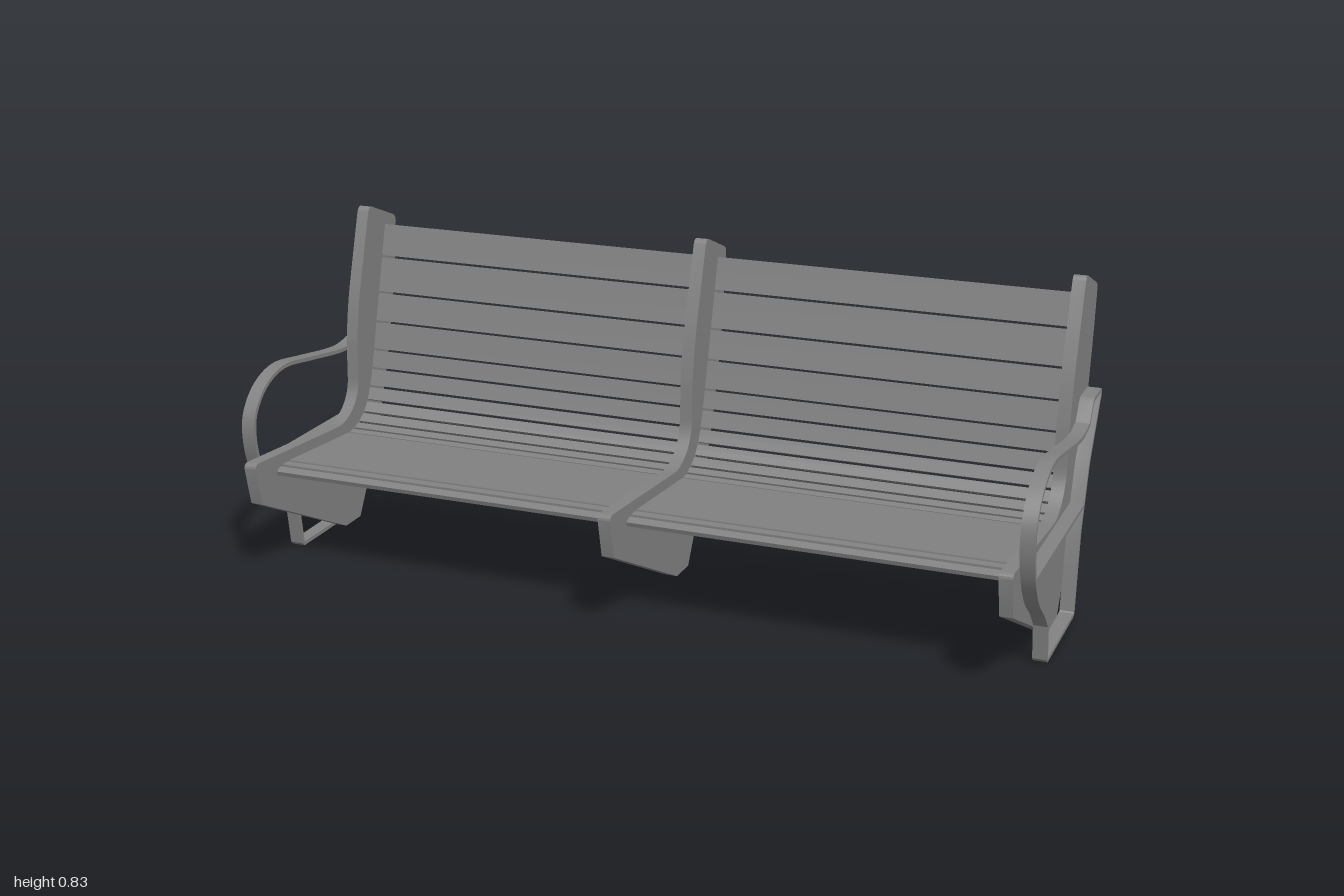
import * as THREE from 'three';
import { toCreasedNormals } from 'three/addons/utils/BufferGeometryUtils.js';

const material = new THREE.MeshStandardMaterial({ color: 0x828282 });
const PANEL_X = 0.95, PANEL_W = 0.032;
const ARM_W = 0.035, ARM_T = 0.01;

function addMesh(parent, geometry, name) {
  const mesh = new THREE.Mesh(geometry, material);
  mesh.name = name;
  parent.add(mesh);
  return mesh;
}

// Extrude a (z, y) side profile along x, centred on x = 0
function extrudeSide(shape, width) {
  const g = new THREE.ExtrudeGeometry(shape, { depth: width, bevelEnabled: false, curveSegments: 12 });
  g.translate(0, 0, -width / 2);
  g.rotateY(-Math.PI / 2);
  return toCreasedNormals(g, 0.5);
}

// Side profile of the supporting panels
function panelShape() {
  const s = new THREE.Shape();
  s.moveTo(-0.043, 0.001);
  s.lineTo(0.36, 0.202);
  s.lineTo(0.381, 0.297);
  s.quadraticCurveTo(0.383, 0.313, 0.366, 0.313);
  s.lineTo(-0.02, 0.285);
  s.bezierCurveTo(-0.085, 0.28, -0.142, 0.325, -0.142, 0.385);
  s.lineTo(-0.145, 0.48);
  s.quadraticCurveTo(-0.157, 0.57, -0.175, 0.63);
  s.lineTo(-0.232, 0.812);
  s.quadraticCurveTo(-0.239, 0.832, -0.256, 0.826);
  s.lineTo(-0.367, 0.782);
  s.quadraticCurveTo(-0.381, 0.776, -0.381, 0.76);
  s.bezierCurveTo(-0.347, 0.46, -0.277, 0.26, -0.12, 0.001);
  s.closePath();
  return s;
}

// Closed strip of constant thickness around a clockwise loop of points
function stripShape(points, thickness) {
  const n = points.length;
  const offset = (d) => points.map((p, i) => {
    const a = p.clone().sub(points[(i + n - 1) % n]).normalize();
    const b = points[(i + 1) % n].clone().sub(p).normalize();
    const normal = new THREE.Vector2(-a.y - b.y, a.x + b.x).normalize();
    const miter = Math.max(0.5, normal.dot(new THREE.Vector2(-a.y, a.x)));
    return p.clone().addScaledVector(normal, d / miter);
  });
  const shape = new THREE.Shape(offset(thickness / 2));
  shape.holes.push(new THREE.Path(offset(-thickness / 2).reverse()));
  return shape;
}

// Loop of the foot, rear stay and curved armrest
function armLoop() {
  const straight = [
    [0.126, 0.012], [0.12, 0.006], [-0.158, 0.006], [-0.164, 0.012],
    [-0.174, 0.11], [-0.186, 0.21], [-0.242, 0.37], [-0.335, 0.512], [-0.337, 0.519],
    [-0.332, 0.525], [-0.254, 0.525], [-0.245, 0.52],
  ].map(([z, y]) => new THREE.Vector2(z, y));
  const curved = new THREE.SplineCurve([
    [-0.213, 0.474], [-0.15, 0.465], [-0.08, 0.47], [0.04, 0.488], [0.17, 0.504],
    [0.26, 0.478], [0.315, 0.42], [0.323, 0.35], [0.3, 0.27], [0.25, 0.2], [0.185, 0.147], [0.138, 0.1],
  ].map(([z, y]) => new THREE.Vector2(z, y)));
  return [...straight, ...curved.getPoints(60)];
}

// Slat joints from the seat nose round to the top of the back, as [z, y]
const JOINTS = [
  [0.288, 0.258], [0.26, 0.268], [0.227, 0.268], [-0.08, 0.246], [-0.109, 0.25],
  [-0.137, 0.26], [-0.167, 0.279], [-0.191, 0.307], [-0.21, 0.343], [-0.226, 0.389],
  [-0.24, 0.438], [-0.259, 0.511], [-0.28, 0.587], [-0.305, 0.68], [-0.328, 0.766],
];

function addSlats(parent) {
  const slats = new THREE.Group();
  slats.name = 'slats';
  parent.add(slats);
  for (let i = 0; i < JOINTS.length - 1; i++) {
    const [z0, y0] = JOINTS[i], [z1, y1] = JOINTS[i + 1];
    const length = Math.hypot(z1 - z0, y1 - y0);
    const name = i === 2 ? 'seatBoard' : i < 2 ? 'frontSlat' : i < 8 ? 'curveSlat' : 'backSlat';
    const narrow = name === 'curveSlat' || name === 'frontSlat';
    const thickness = narrow ? 0.012 : 0.014, gap = narrow ? 0.008 : 0.006;
    const slat = addMesh(slats, new THREE.BoxGeometry(2 * PANEL_X - PANEL_W, thickness, length - gap), name);
    slat.position.set(0, (y0 + y1) / 2, (z0 + z1) / 2);
    slat.rotation.x = Math.atan2(y1 - y0, z0 - z1);
  }
}

export function createModel() {
  const bench = new THREE.Group();
  bench.name = 'bench';

  // Three upright side panels
  const panel = extrudeSide(panelShape(), PANEL_W);
  for (const x of [-PANEL_X, 0, PANEL_X]) {
    addMesh(bench, panel, x === 0 ? 'middlePanel' : x < 0 ? 'rightPanel' : 'leftPanel').position.x = x;
  }

  addSlats(bench);

  // Armrest frames with their cross bars, outside the end panels
  const frame = extrudeSide(stripShape(armLoop(), ARM_T), ARM_W);
  const bar = new THREE.BoxGeometry(ARM_W, ARM_T, 0.502);
  for (const side of [-1, 1]) {
    const arm = new THREE.Group();
    arm.name = side < 0 ? 'rightArmrest' : 'leftArmrest';
    arm.position.x = side * (1 - ARM_W / 2);
    addMesh(arm, frame, 'armrestFrame');
    addMesh(arm, bar, 'armrestCrossBar').position.set(0, 0.272, 0.048);
    bench.add(arm);
  }
  return bench;
}
